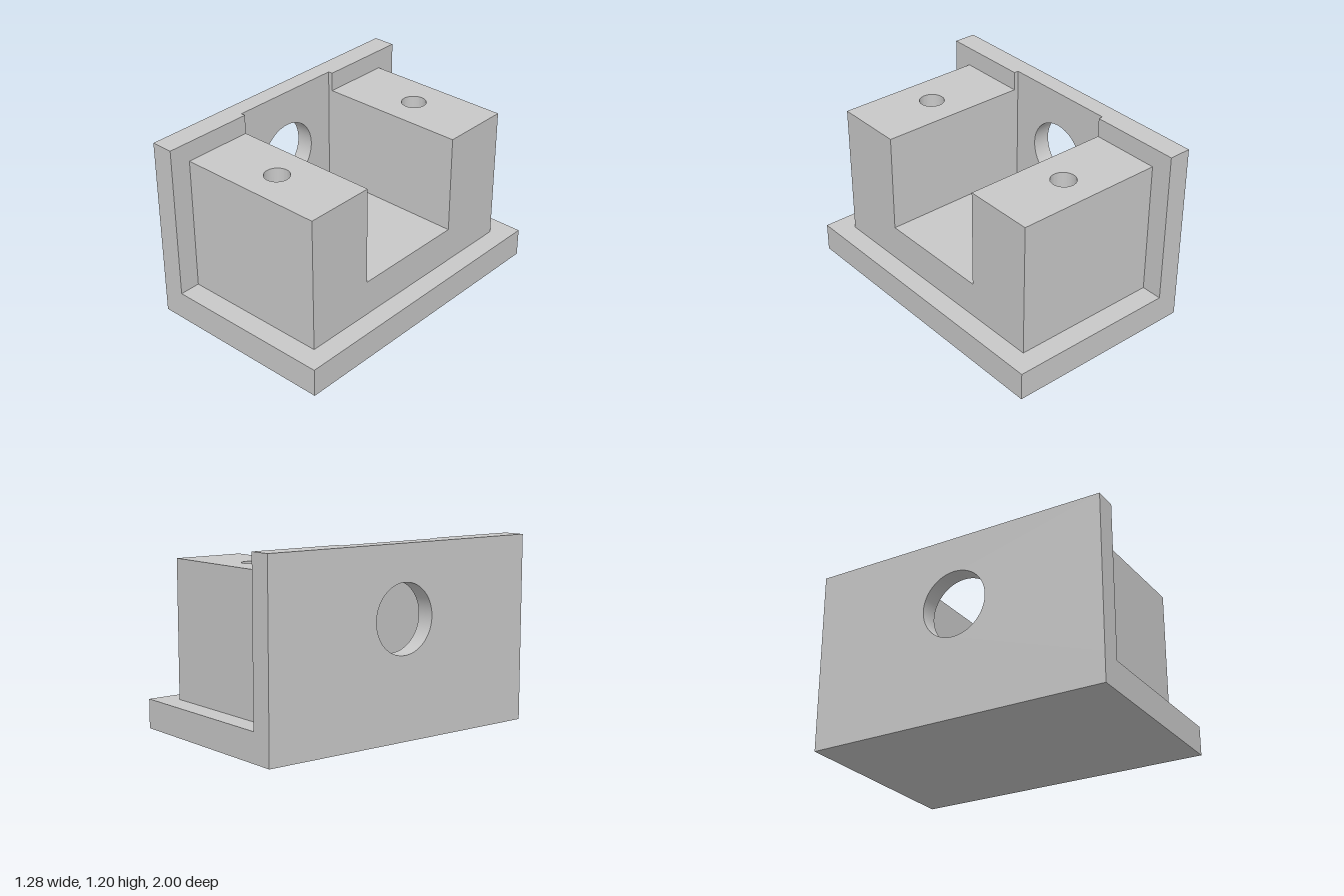
import * as THREE from 'three';
import { toCreasedNormals } from 'three/addons/utils/BufferGeometryUtils.js';

const BASE_TOP = 0.188, SLOT_FLOOR = 0.425, BLOCK_TOP = 1.077, WALL_TOP = 1.203;
const HALF_X = 0.64, WALL_X = -0.492, RECESS_X = -0.522, BLOCK_X = 0.507;
const SLOT_Z = 0.394, BLOCK_Z = 0.86;

export function createModel() {
  const group = new THREE.Group();
  const grey = new THREE.MeshStandardMaterial({ color: 0xc8c8c8 });
  grey.name = 'lightGrey';

  function add(name, geometry) {
    const mesh = new THREE.Mesh(geometry, grey);
    mesh.name = name;
    group.add(mesh);
    return mesh;
  }

  function box(name, x0, x1, y0, y1, z0, z1) {
    const mesh = add(name, new THREE.BoxGeometry(x1 - x0, y1 - y0, z1 - z0));
    mesh.position.set((x0 + x1) / 2, (y0 + y1) / 2, (z0 + z1) / 2);
  }

  function polygon(points) {
    return new THREE.Shape(points.map(([x, y]) => new THREE.Vector2(x, y)));
  }

  function drill(shape, x, y, r) {
    shape.holes.push(new THREE.Path().absarc(x, y, r, 0, Math.PI * 2, true));
    return shape;
  }

  // Extrusion whose round holes are smooth and whose edges stay sharp
  function extrude(shape, depth) {
    const g = new THREE.ExtrudeGeometry(shape, { depth, bevelEnabled: false, curveSegments: 48 });
    return toCreasedNormals(g, 0.5);
  }

  // Base plate
  box('basePlate', -HALF_X, HALF_X, 0, BASE_TOP, -1, 1);

  // Side wall: outer layer with the round opening
  const outer = drill(polygon([[-1, BASE_TOP], [1, BASE_TOP], [1, WALL_TOP], [-1, WALL_TOP]]), 0, 0.75, 0.22);
  const wall = extrude(outer, RECESS_X + HALF_X).rotateY(Math.PI / 2);
  add('wall', wall.translate(-HALF_X, 0, 0));

  // Side wall: inner layer with the shallow recess in line with the slot
  const inner = polygon([
    [-1, BASE_TOP], [1, BASE_TOP], [1, WALL_TOP], [SLOT_Z, WALL_TOP],
    [SLOT_Z, SLOT_FLOOR], [-SLOT_Z, SLOT_FLOOR], [-SLOT_Z, WALL_TOP], [-1, WALL_TOP],
  ]);
  const lining = extrude(inner, WALL_X - RECESS_X).rotateY(Math.PI / 2);
  add('wallRecess', lining.translate(RECESS_X, 0, 0));

  // Lower block, its top is the slot floor
  box('blockBase', WALL_X, BLOCK_X, BASE_TOP, SLOT_FLOOR, -BLOCK_Z, BLOCK_Z);

  // Two pillars either side of the slot, each with a blind bolt hole
  const midZ = (SLOT_Z + BLOCK_Z) / 2, halfZ = (BLOCK_Z - SLOT_Z) / 2;
  for (const side of [-1, 1]) {
    const plan = polygon([[WALL_X, -halfZ], [BLOCK_X, -halfZ], [BLOCK_X, halfZ], [WALL_X, halfZ]]);
    const pillar = extrude(drill(plan, 0.008, 0, 0.08), BLOCK_TOP - SLOT_FLOOR).rotateX(-Math.PI / 2);
    pillar.translate(0, SLOT_FLOOR, side * midZ);
    add(side > 0 ? 'frontPillar' : 'backPillar', pillar);
  }

  return group;
}
